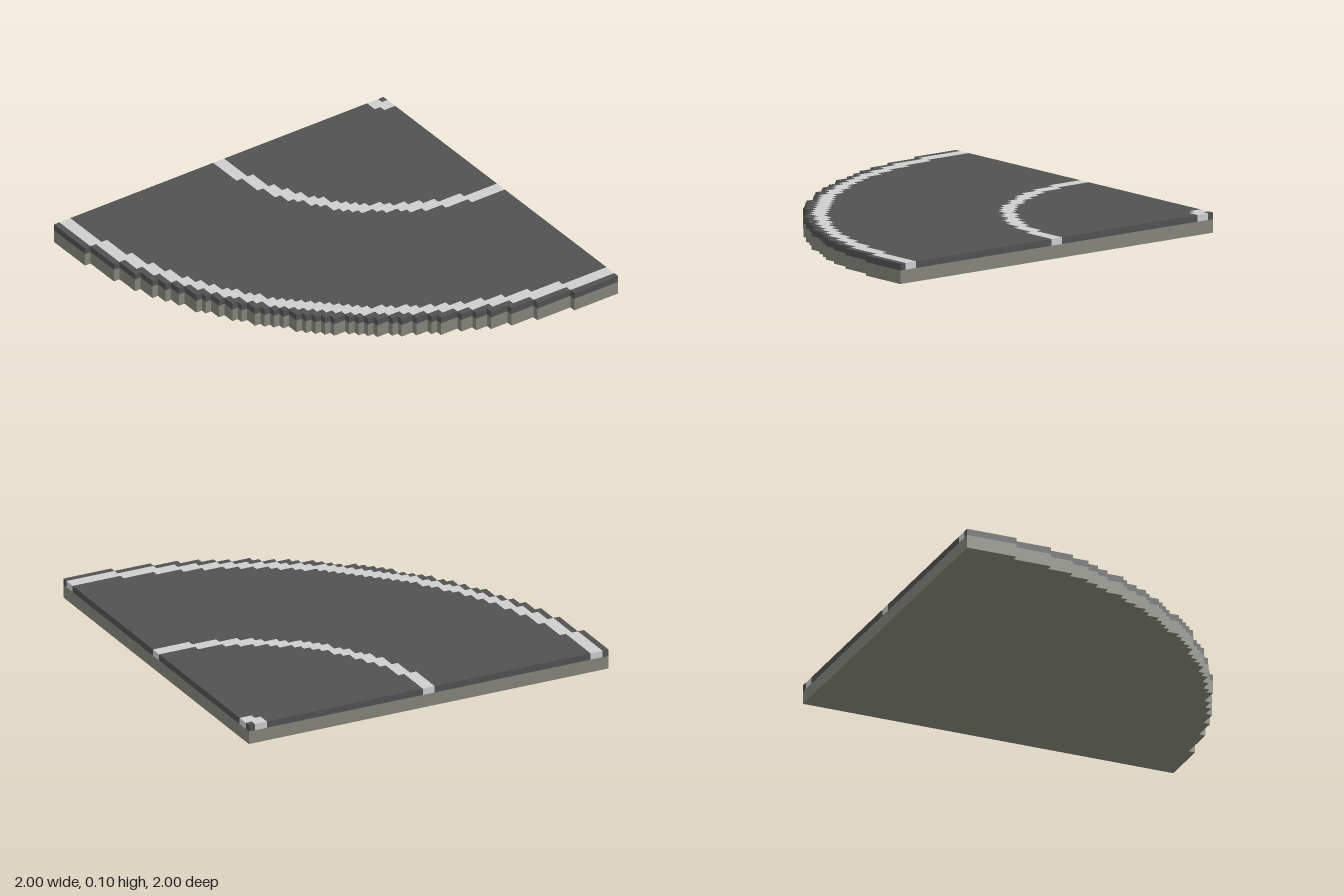
import * as THREE from 'three';

const CELL = 1 / 30;      // the disc is stepped on a 60 x 60 grid
const BASE_TOP = 0.068;   // top of the grey foundation
const TOP = 0.102;        // top of the paved layer

// Stepped quarter-circle outline, from the x axis round to the y axis
function stairs(radius) {
  const rows = Math.floor(radius) + 1;
  const cells = (j) => (j < rows ? Math.floor(Math.sqrt(radius * radius - j * j)) + 1 : 0);
  let current = cells(0);
  const points = [[current, 0]];
  for (let j = 1; j <= rows; j++) {
    const next = cells(j);
    if (next !== current) {
      points.push([current, j], [next, j]);
      current = next;
    }
  }
  return points.map(([x, y]) => new THREE.Vector2(x * CELL - 1, y * CELL - 1));
}

// Slab between two stepped arcs; inner = 0 fills it to the corner
function slab(name, inner, outer, bottom, top, material) {
  const inside = inner ? stairs(inner).reverse() : [new THREE.Vector2(-1, -1)];
  const shape = new THREE.Shape([...stairs(outer), ...inside]);
  const geometry = new THREE.ExtrudeGeometry(shape, { depth: top - bottom, bevelEnabled: false });
  geometry.rotateX(Math.PI / 2);
  geometry.translate(0, top, 0);
  const mesh = new THREE.Mesh(geometry, material);
  mesh.name = name;
  return mesh;
}

export function createModel() {
  const asphalt = new THREE.MeshStandardMaterial({ name: 'asphalt', color: 0x525252 });
  const paint = new THREE.MeshStandardMaterial({ name: 'white paint', color: 0xcecece });
  const stone = new THREE.MeshStandardMaterial({ name: 'grey stone', color: 0x85857c });

  const group = new THREE.Group();
  group.name = 'roadCurve';

  // Foundation
  group.add(slab('foundation', 0, 59.5, 0, BASE_TOP, stone));

  // Paved layer: concentric bands from the corner outwards
  const bands = [
    ['cornerTip', 0, 0.5, asphalt],
    ['innerLine', 0.5, 2.5, paint],
    ['innerLane', 2.5, 28.5, asphalt],
    ['centreLine', 28.5, 30.5, paint],
    ['outerLane', 30.5, 56.5, asphalt],
    ['outerLine', 56.5, 58.5, paint],
    ['outerEdge', 58.5, 59.5, asphalt],
  ];
  for (const [name, inner, outer, material] of bands) {
    group.add(slab(name, inner, outer, BASE_TOP, TOP, material));
  }
  return group;
}
